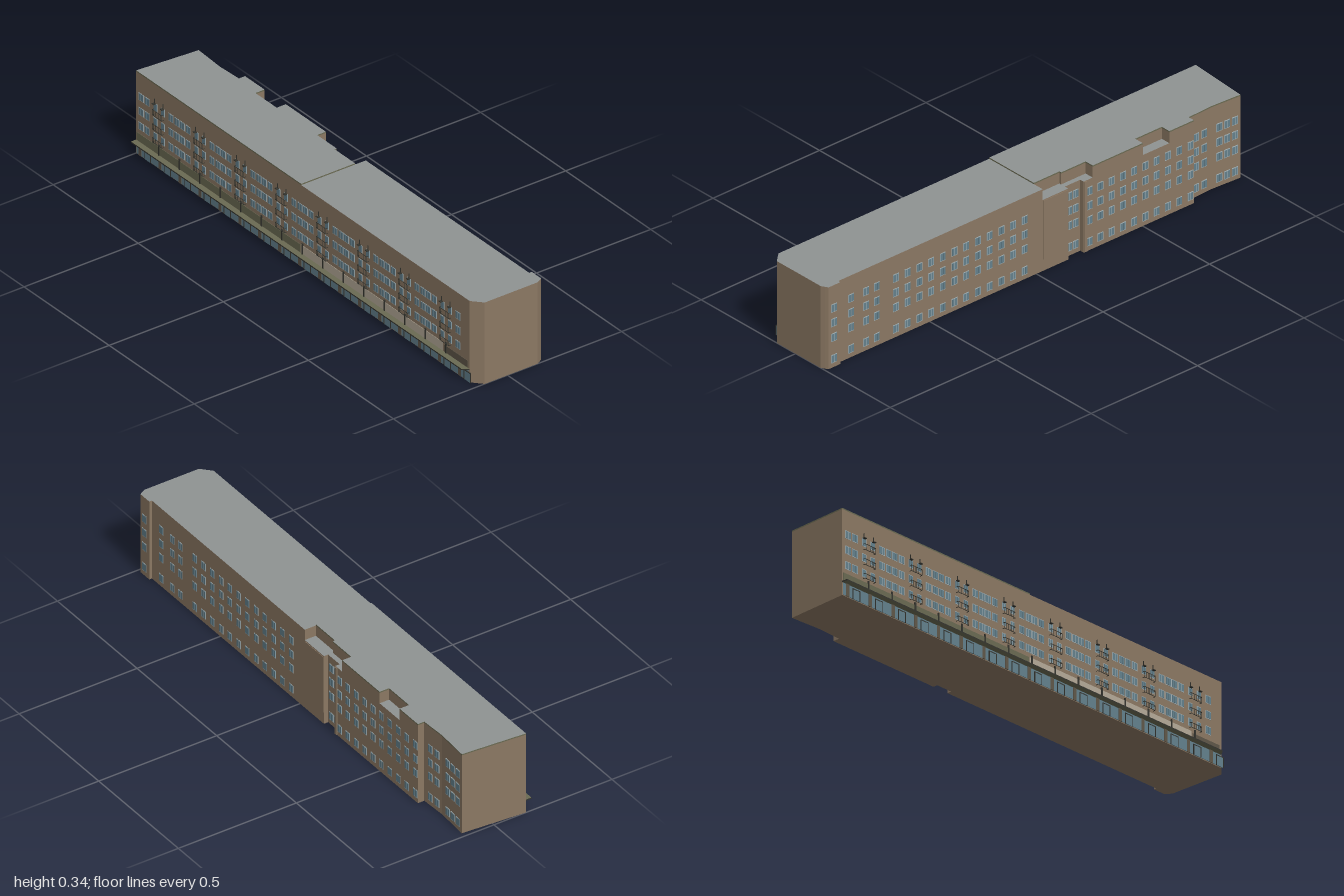
import * as THREE from 'three';
import { mergeGeometries } from 'three/addons/utils/BufferGeometryUtils.js';

const mat = (color) => new THREE.MeshStandardMaterial({ color });
const BRICK = mat(0x8b7863), ROOF = mat(0x8f9392), GLASS = mat(0x63808c), FRAME = mat(0xa3b2b6);
const DARK = mat(0x35352f), TRIM = mat(0x6a6a52), PALE = mat(0xb5aa98), STONE = mat(0x5f5648);

// Vertical prism over a plan outline given as [x, z] corners
function prism(plan, y0, y1) {
  const shape = new THREE.Shape(plan.map(([x, z]) => new THREE.Vector2(x, -z)));
  const geo = new THREE.ExtrudeGeometry(shape, { depth: y1 - y0, bevelEnabled: false });
  return geo.rotateX(-Math.PI / 2).translate(0, y0, 0);
}
const box = (x, y, z, w, h, d) => new THREE.BoxGeometry(w, h, d).translate(x, y, z);

export function createModel() {
  const root = new THREE.Group();
  const add = (name, geo, material) => {
    const mesh = new THREE.Mesh(Array.isArray(geo) ? mergeGeometries(geo) : geo, material);
    mesh.name = name;
    root.add(mesh);
  };

  // Plan corners shared by every level
  const frontAndRight = [[0.93, -0.147], [0.93, -0.158], [0.985, -0.158], [0.992, -0.147], [1, -0.132],
    [1, 0.1], [0.96, 0.136], [-1, 0.136]];
  const backLeft = [[-0.98, -0.123], [-0.845, -0.115], [-0.74, -0.12], [-0.74, -0.147]];
  const lowerRecess = [[-0.222, -0.147], [-0.222, -0.129], [-0.15, -0.129], [-0.15, -0.147]];
  const roofNotches = [[-0.625, -0.147], [-0.625, -0.107], [-0.5, -0.107], [-0.5, -0.147],
    [-0.265, -0.147], [-0.265, -0.109], [-0.15, -0.109], [-0.15, -0.1], [-0.03, -0.1], [-0.03, -0.147]];
  const lowerPlan = [...backLeft, ...lowerRecess, ...frontAndRight];
  const upperPlan = [...backLeft, ...roofNotches, ...frontAndRight];

  // Building mass: base, main storeys, top storey with roof terraces
  add('basePlate', prism(lowerPlan, 0, 0.002), BRICK);
  add('mainStoreys', prism(lowerPlan, 0.002, 0.289), [ROOF, BRICK]);
  add('topStorey', prism(upperPlan, 0.289, 0.333), [ROOF, BRICK]);
  add('leftRoofSlab', prism([...backLeft, ...roofNotches.slice(0, 9), [-0.03, 0.136], [-1, 0.136]],
    0.333, 0.338), [ROOF, TRIM]);
  add('stairPanel', box(-0.09, 0.165, -0.147, 0.112, 0.24, 0.004), BRICK);
  add('backPier', box(-0.229, 0.145, -0.148, 0.012, 0.285, 0.008), BRICK);

  // Windows: frame, glass and a centre bar
  const frames = [], panes = [];
  function addWindow(x, y, z, side, w, h) {
    frames.push(box(x, y, z, w, h, 0.002));
    for (const s of [-1, 1]) panes.push(box(x + s * w * 0.23, y, z + side * 0.0012, w * 0.37, h * 0.84, 0.0016));
  }
  const bays = Array.from({ length: 8 }, (_, i) => -0.865 + i * 0.241);
  const storeys = [0.122, 0.182, 0.241];
  for (const y of storeys) {
    for (const b of bays) {
      for (const dx of [-0.105, -0.07, -0.022, 0.022, 0.07, 0.105]) {
        if (b + dx < 0.91) addWindow(b + dx, y, 0.136, 1, Math.abs(dx) < 0.03 ? 0.022 : 0.029, 0.031);
      }
    }
  }
  // Rear windows
  const backColumns = [[0.96, -0.158], [0.87, -0.147], [0.8, -0.147], [0.75, -0.147],
    [-0.17, -0.129], [-0.2, -0.129], [-0.25, -0.147],
    [-0.775, -0.118], [-0.815, -0.117], [-0.885, -0.118], [-0.92, -0.12], [-0.955, -0.122]];
  for (let x = 0.66; x > 0; x -= 0.055) backColumns.push([x, -0.147]);
  for (let x = -0.3; x > -0.73; x -= 0.053) backColumns.push([x, -0.147]);
  for (const [x, z] of backColumns) {
    for (const y of [0.035, ...storeys]) addWindow(x, y, z, -1, 0.027, 0.033);
  }
  add('windowFrames', frames, FRAME);
  add('windowPanes', panes, GLASS);

  // Shopfront under the canopy
  const piers = [], doors = [], mullions = [];
  add('shopGlass', box(-0.022, 0.026, 0.1365, 1.95, 0.046, 0.003), GLASS);
  for (let i = 0; i < 17; i++) {
    const x = -0.93 + i * 0.1175;
    piers.push(box(x - 0.045, 0.026, 0.1375, 0.016, 0.048, 0.004));
    doors.push(box(x, 0.021, 0.1375, 0.034, 0.038, 0.004));
    for (const s of [-1, 1]) mullions.push(box(x + s * 0.018, 0.022, 0.139, 0.003, 0.04, 0.003));
    mullions.push(box(x, 0.041, 0.139, 0.039, 0.003, 0.003));
  }
  add('shopPiers', piers, STONE);
  add('shopDoors', doors, GLASS);
  add('doorFrames', mullions, DARK);
  add('canopy', prism([[-1, 0.135], [-1, 0.159], [0.942, 0.159], [0.96, 0.135]], 0.05, 0.055), [TRIM, DARK]);

  // Band of panels and posts above the canopy
  add('leftBand', box(-0.515, 0.073, 0.136, 0.96, 0.032, 0.003), TRIM);
  add('rightBand', box(0.387, 0.073, 0.136, 0.835, 0.034, 0.003), PALE);
  add('endBand', box(0.88, 0.07, 0.136, 0.14, 0.028, 0.003), STONE);
  const posts = [];
  for (let i = 0; i < 15; i++) posts.push(box(-0.865 + i * 0.1205, 0.077, 0.1375, 0.007, 0.044, 0.004));
  add('bandPosts', posts, DARK);

  // Railings and lamp brackets on the front
  const rails = [], brackets = [];
  const t = 0.0016;
  for (const b of bays) {
    [0.1, 0.153, 0.211].forEach((y, k) => {
      const h = k ? 0.022 : 0.018;
      for (const yy of [y, y + h]) {
        rails.push(box(b, yy, 0.1455, 0.056, t, t));
        for (const s of [-1, 1]) rails.push(box(b + s * 0.0275, yy, 0.1405, t, t, 0.01));
      }
      for (let i = 0; i <= 6; i++) rails.push(box(b + (i - 3) * 0.0092, y + h / 2, 0.1455, 0.001, h, 0.001));
    });
    for (const s of [-1, 1]) {
      brackets.push(box(b + s * 0.024, 0.256, 0.141, 0.012, 0.003, 0.011));
      brackets.push(box(b + s * 0.024, 0.266, 0.138, 0.002, 0.02, 0.003));
    }
  }
  add('balconyRailings', rails, DARK);
  add('wallBrackets', brackets, DARK);
  return root;
}
